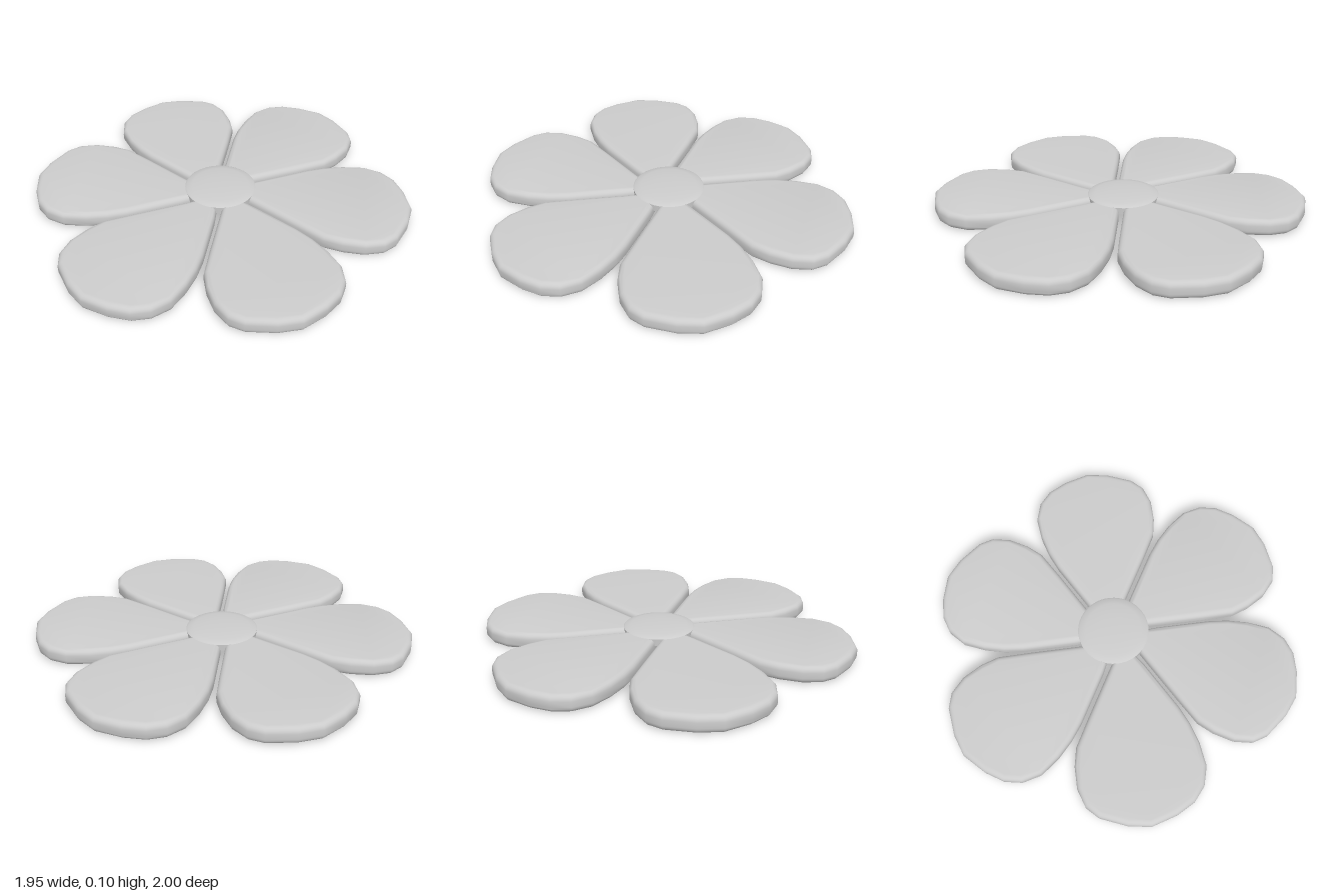
import * as THREE from 'three';
import { toCreasedNormals } from 'three/addons/utils/BufferGeometryUtils.js';

const HEIGHT = 0.088;
const BEVEL = 0.03;

// Petal outline, from the tip at the centre, up the right edge and round to the left
const OUTLINE = [
  [-0.014, 0.045], [0.12, 0.185], [0.30, 0.378], [0.41, 0.50], [0.45, 0.59], [0.475, 0.70],
  [0.465, 0.80], [0.42, 0.87], [0.30, 0.955], [0.19, 1.0], [0.05, 0.993], [-0.055, 0.965],
  [-0.13, 0.91], [-0.18, 0.82], [-0.192, 0.70], [-0.185, 0.59], [-0.165, 0.49], [-0.08, 0.21],
];

// Rounded slab lying flat on the ground
function petalGeometry() {
  const shape = new THREE.Shape(OUTLINE.map(([x, y]) => new THREE.Vector2(x, y)));
  const geometry = new THREE.ExtrudeGeometry(shape, {
    depth: HEIGHT - 2 * BEVEL,
    bevelThickness: BEVEL,
    bevelSize: BEVEL,
    bevelOffset: -BEVEL,
    bevelSegments: 5,
  });
  geometry.translate(0, 0, BEVEL);
  geometry.rotateX(-Math.PI / 2);
  return toCreasedNormals(geometry, 0.9);
}

// Shallow dome with a short rim, closed underneath
function centreGeometry() {
  const profile = [[0, 0.05], [0.188, 0.05], [0.19, 0.088], [0.182, 0.093], [0.15, 0.099], [0.08, 0.104], [0, 0.105]];
  const geometry = new THREE.LatheGeometry(profile.map(([r, y]) => new THREE.Vector2(r, y)), 48);
  return toCreasedNormals(geometry, 0.9);
}

export function createModel() {
  const flower = new THREE.Group();
  flower.name = 'flower';
  const material = new THREE.MeshStandardMaterial({ color: 0xcccccc });

  // Six petals; one opposite pair is slightly smaller
  const geometry = petalGeometry();
  for (let i = 0; i < 6; i++) {
    const petal = new THREE.Mesh(geometry, material);
    petal.name = `petal${i + 1}`;
    petal.rotation.y = -i * Math.PI / 3;
    if (i % 3 === 2) petal.scale.set(0.985, 1, 0.985);
    flower.add(petal);
  }

  const centre = new THREE.Mesh(centreGeometry(), material);
  centre.name = 'flowerCentre';
  centre.position.set(-0.01, 0, -0.025);
  flower.add(centre);

  return flower;
}
